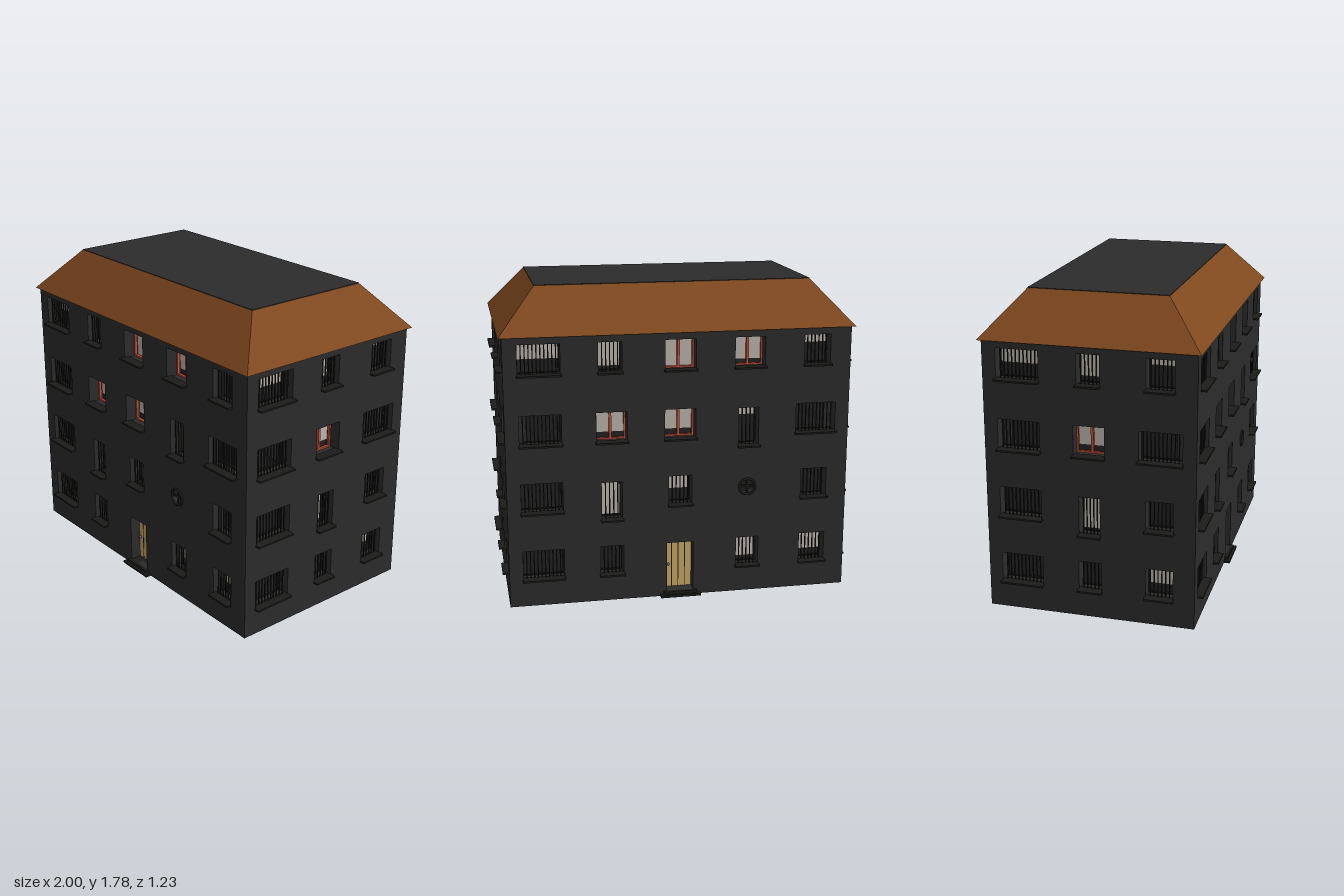
import * as THREE from 'three';

const mat = (color) => new THREE.MeshStandardMaterial({ color, side: THREE.DoubleSide });
const M = {
  wall: mat(0x2c2c2c), dark: mat(0x1c1c1a), glass: mat(0x222222), roof: mat(0x80491f),
  red: mat(0xc4503c), blind: mat(0xbdb7ae), door: mat(0xc8a766), metal: mat(0x777777),
};
const W = 0.968, D = 0.58, H = 1.548, NICHE = 0.12;

function add(parent, name, geometry, material, x = 0, y = 0, z = 0) {
  const mesh = new THREE.Mesh(geometry, material);
  mesh.name = name;
  mesh.position.set(x, y, z);
  parent.add(mesh);
  return mesh;
}
const box = (parent, name, w, h, d, material, x, y, z) =>
  add(parent, name, new THREE.BoxGeometry(w, h, d), material, x, y, z);

// Box without its front face, used as the lining of a recess
function recess(parent, name, w, h, d, material, x, y) {
  const g = new THREE.BoxGeometry(w, h, d);
  const index = Array.from(g.index.array);
  index.splice(24, 6);
  g.setIndex(index);
  g.clearGroups();
  return add(parent, name, g, material, x, y, -d / 2);
}

function rectHole(x0, x1, y0, y1) {
  return new THREE.Path([[x0, y0], [x0, y1], [x1, y1], [x1, y0]].map((p) => new THREE.Vector2(...p)));
}

// Four bars around an opening
function frame(parent, name, w, h, t, d, material, z) {
  for (const s of [-1, 1]) {
    box(parent, name, t, h, d, material, s * (w - t) / 2, 0, z);
    box(parent, name, w - 2 * t, t, d, material, 0, s * (h - t) / 2, z);
  }
}

// Recessed window: blind is the lowered fraction, red ones have a casement instead of bars
function addWindow(parent, [x0, x1, y0, y1, blind, red]) {
  const w = x1 - x0, h = y1 - y0;
  const g = new THREE.Group();
  g.name = red ? 'casementWindow' : 'barredWindow';
  g.position.set((x0 + x1) / 2, (y0 + y1) / 2, 0);
  parent.add(g);
  recess(g, 'windowRecess', w, h, NICHE, M.wall, 0, 0);
  box(g, 'glass', w, h, 0.004, M.glass, 0, 0, -0.1);
  if (blind) box(g, 'blind', w - 0.004, h * blind, 0.004, M.blind, 0, h * (1 - blind) / 2, -0.093);
  box(g, 'windowSill', w + 0.012, 0.01, 0.062, M.dark, 0, -h / 2, 0.001);
  if (red) {
    frame(g, 'redFrame', w, h, 0.009, 0.016, M.red, -0.075);
    box(g, 'redMullion', 0.014, h - 0.018, 0.018, M.red, 0, 0, -0.075);
  } else {
    frame(g, 'darkFrame', w, h, 0.005, 0.012, M.dark, -0.075);
    const n = Math.round(w / 0.021);
    for (let i = 1; i < n; i++) {
      box(g, 'windowBar', 0.006, h, 0.006, M.dark, -w / 2 + (w * i) / n, 0, -0.02);
    }
  }
}

// Small round window with a cross
function addRoundWindow(parent, [x, y, r]) {
  const g = new THREE.Group();
  g.name = 'roundWindow';
  g.position.set(x, y, 0);
  parent.add(g);
  const tube = new THREE.CylinderGeometry(r, r, NICHE, 24, 1, true).rotateX(Math.PI / 2);
  add(g, 'roundRecess', tube, M.wall, 0, 0, -NICHE / 2);
  add(g, 'roundGlass', new THREE.CircleGeometry(r, 24), M.glass, 0, 0, -0.06);
  add(g, 'recessBack', new THREE.CircleGeometry(r, 24), M.wall, 0, 0, -NICHE);
  add(g, 'roundFrame', new THREE.TorusGeometry(r, 0.008, 8, 24), M.dark, 0, 0, 0.002);
  box(g, 'crossBar', 2 * r, 0.012, 0.012, M.dark, 0, 0, -0.01);
  box(g, 'crossBar', 0.012, 2 * r, 0.012, M.dark, 0, 0, -0.01);
}

// Planked door with a handle and a two-tier step
function addDoor(parent, [x0, x1, y0, y1]) {
  const w = x1 - x0, h = y1 - y0, depth = 0.07;
  const g = new THREE.Group();
  g.name = 'door';
  g.position.set((x0 + x1) / 2, (y0 + y1) / 2, 0);
  parent.add(g);
  recess(g, 'doorRecess', w, h, depth, M.wall, 0, 0);
  box(g, 'doorLeaf', w, h, 0.015, M.door, 0, 0, -depth);
  for (let i = 1; i < 4; i++) {
    box(g, 'plankGroove', 0.004, h, 0.003, M.dark, -w / 2 + (w * i) / 4, 0, -depth + 0.008);
  }
  add(g, 'doorHandle', new THREE.SphereGeometry(0.008, 12, 8), M.metal, -w / 2 + 0.018, -0.005, -depth + 0.016);
  box(g, 'lowerStep', 0.23, 0.014, 0.11, M.dark, 0, -h / 2 - y0 + 0.007, -0.02);
  box(g, 'upperStep', 0.19, 0.016, 0.095, M.dark, 0, -h / 2 - y0 + 0.022, -0.0275);
}

function facade(name, half, windows, door, round) {
  const g = new THREE.Group();
  g.name = name;
  const shape = new THREE.Shape();
  shape.moveTo(-half, 0).lineTo(half, 0).lineTo(half, H).lineTo(-half, H).closePath();
  for (const w of windows) {
    shape.holes.push(rectHole(...w.slice(0, 4)));
    addWindow(g, w);
  }
  if (door) {
    shape.holes.push(rectHole(...door));
    addDoor(g, door);
  }
  if (round) {
    const [x, y, r] = round;
    shape.holes.push(new THREE.Path().absarc(x, y, r, 0, Math.PI * 2, true));
    addRoundWindow(g, round);
  }
  add(g, 'wall', new THREE.ShapeGeometry(shape, 12), M.wall);
  return g;
}

// Window rows: bottom and top heights of each storey
const R1 = [1.32, 1.49], R2 = [0.93, 1.1], R3 = [0.545, 0.715], R4 = [0.155, 0.325], TALL = [0.48, 0.7];
const A = [-0.89, -0.66], B = [-0.455, -0.325], C = [-0.088, 0.085], E = [0.7, 0.85];
const LONG = [
  [...A, ...R1, 0.56], [...B, ...R1, 0.87], [...C, ...R1, 0.99, true], [0.305, 0.475, ...R1, 0.82, true], [...E, ...R1, 0.34],
  [...A, ...R2, 0], [-0.47, -0.3, ...R2, 0.78, true], [...C, ...R2, 0.78, true], [0.33, 0.445, 0.87, 1.09, 0.27], [0.66, 0.89, ...R2, 0],
  [...A, ...R3, 0], [-0.445, -0.33, ...TALL, 0.97], [-0.065, 0.065, ...R3, 0.58], [...E, ...R3, 0],
  [...A, ...R4, 0.2], [...B, ...R4, 0], [0.325, 0.455, ...R4, 0.85], [...E, ...R4, 0.75],
];
const SA = [-0.505, -0.27], SB = [-0.063, 0.063], SC = [0.31, 0.46];
const SHORT = [
  [...SA, ...R1, 0.58], [...SB, ...R1, 0.84], [...SC, ...R1, 0.33],
  [...SA, ...R2, 0], [-0.085, 0.085, ...R2, 0.79, true], [0.27, 0.505, ...R2, 0],
  [...SA, ...R3, 0], [-0.058, 0.058, ...TALL, 0.97], [...SC, ...R3, 0],
  [...SA, ...R4, 0.2], [...SB, ...R4, 0], [...SC, ...R4, 0.72],
];

// Hipped roof skirt: a four-sided band between two rectangles
function roofSides(bottom, top) {
  const ring = ([x, y, z]) => [[-x, y, z], [x, y, z], [x, y, -z], [-x, y, -z]];
  const lo = ring(bottom), hi = ring(top), pos = [];
  for (let i = 0; i < 4; i++) {
    const j = (i + 1) % 4;
    pos.push(...lo[i], ...lo[j], ...hi[j], ...lo[i], ...hi[j], ...hi[i]);
  }
  const g = new THREE.BufferGeometry();
  g.setAttribute('position', new THREE.Float32BufferAttribute(pos, 3));
  g.computeVertexNormals();
  return g;
}

export function createModel() {
  const model = new THREE.Group();
  model.name = 'apartmentHouse';

  // Opposite walls repeat each other, turned half way round
  for (const [i, side] of ['front', 'back'].entries()) {
    const f = facade(side + 'Facade', W, LONG, [-0.077, 0.075, 0.03, 0.32], [0.385, 0.63, 0.045]);
    f.rotation.y = i * Math.PI;
    f.position.z = i ? -D : D;
    model.add(f);
  }
  for (const [i, side] of ['left', 'right'].entries()) {
    const f = facade(side + 'Facade', D, SHORT);
    f.rotation.y = Math.PI / 2 + i * Math.PI;
    f.position.x = i ? -W : W;
    model.add(f);
  }

  // Roof with a flat top
  add(model, 'roofSlopes', roofSides([0.988, 1.53, 0.6], [0.775, 1.775, 0.385]), M.roof);
  box(model, 'flatRoof', 1.55, 0.006, 0.77, M.wall, 0, 1.775, 0);
  return model;
}
